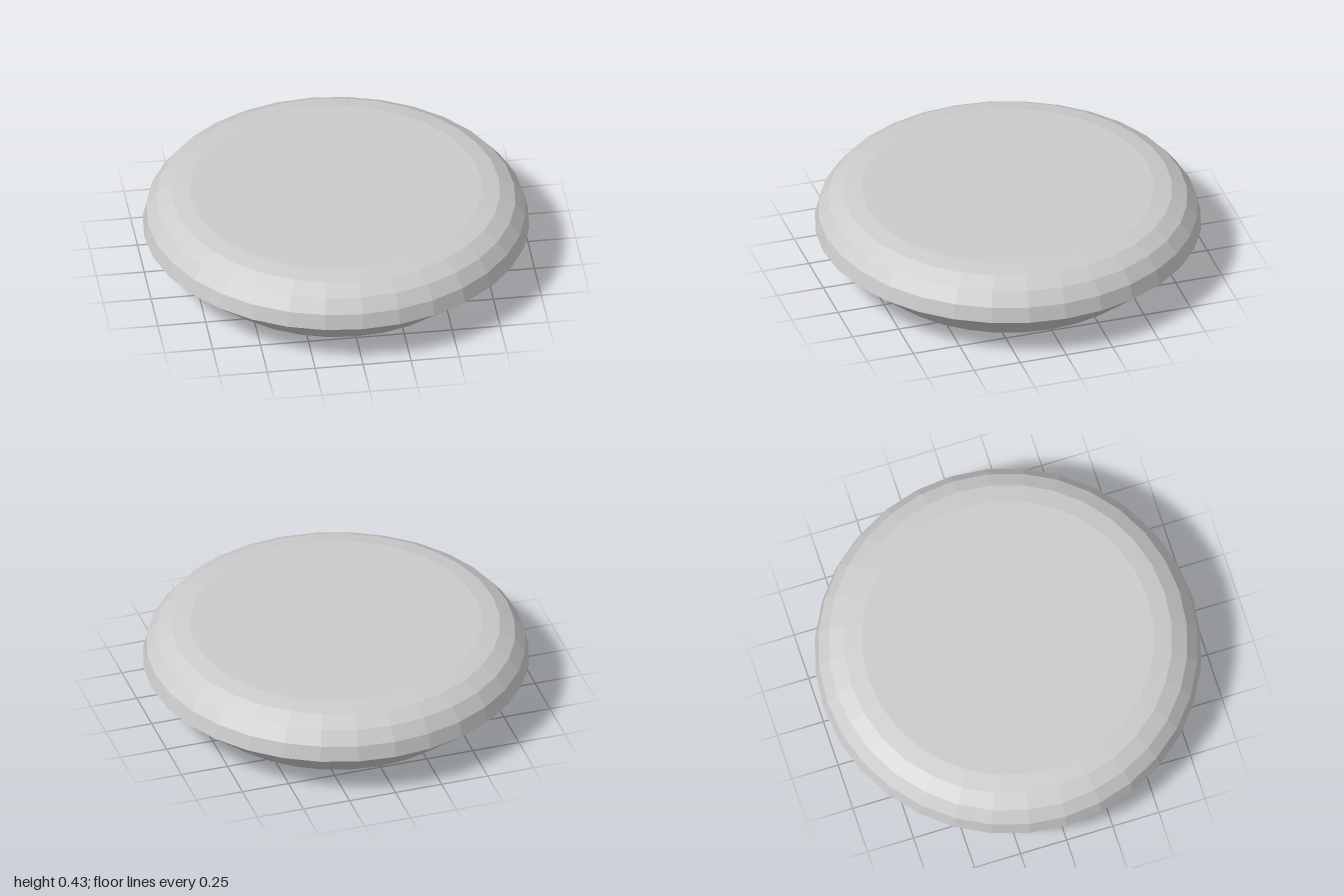
import * as THREE from 'three';

const SIDES = 32;

export function createModel() {
  const group = new THREE.Group();
  group.name = 'roundedDisc';
  const material = new THREE.MeshStandardMaterial({ color: 0xcccccc, flatShading: true });

  const add = (name, geometry, y) => {
    const mesh = new THREE.Mesh(geometry, material);
    mesh.name = name;
    mesh.position.y = y;
    group.add(mesh);
    return mesh;
  };

  // Tapered underside, from the narrow foot out to the rim
  add('taperedBase', new THREE.CylinderGeometry(1, 0.74, 0.22, SIDES, 1, true), 0.11);

  // Rounded shoulder: a quarter ellipse from the rim up to the flat top
  const shoulder = [];
  for (let i = 0; i <= 4; i++) {
    const a = (i / 4) * (Math.PI / 2);
    shoulder.push(new THREE.Vector2(0.755 + 0.245 * Math.cos(a), 0.21 * Math.sin(a)));
  }
  add('roundedShoulder', new THREE.LatheGeometry(shoulder, SIDES), 0.22);

  // Flat faces, turned so their corners meet the neighbouring rings
  add('topFace', new THREE.CircleGeometry(0.755, SIDES), 0.43).rotation.x = -Math.PI / 2;
  add('bottomFace', new THREE.CircleGeometry(0.74, SIDES), 0).rotation.x = Math.PI / 2;

  return group;
}
